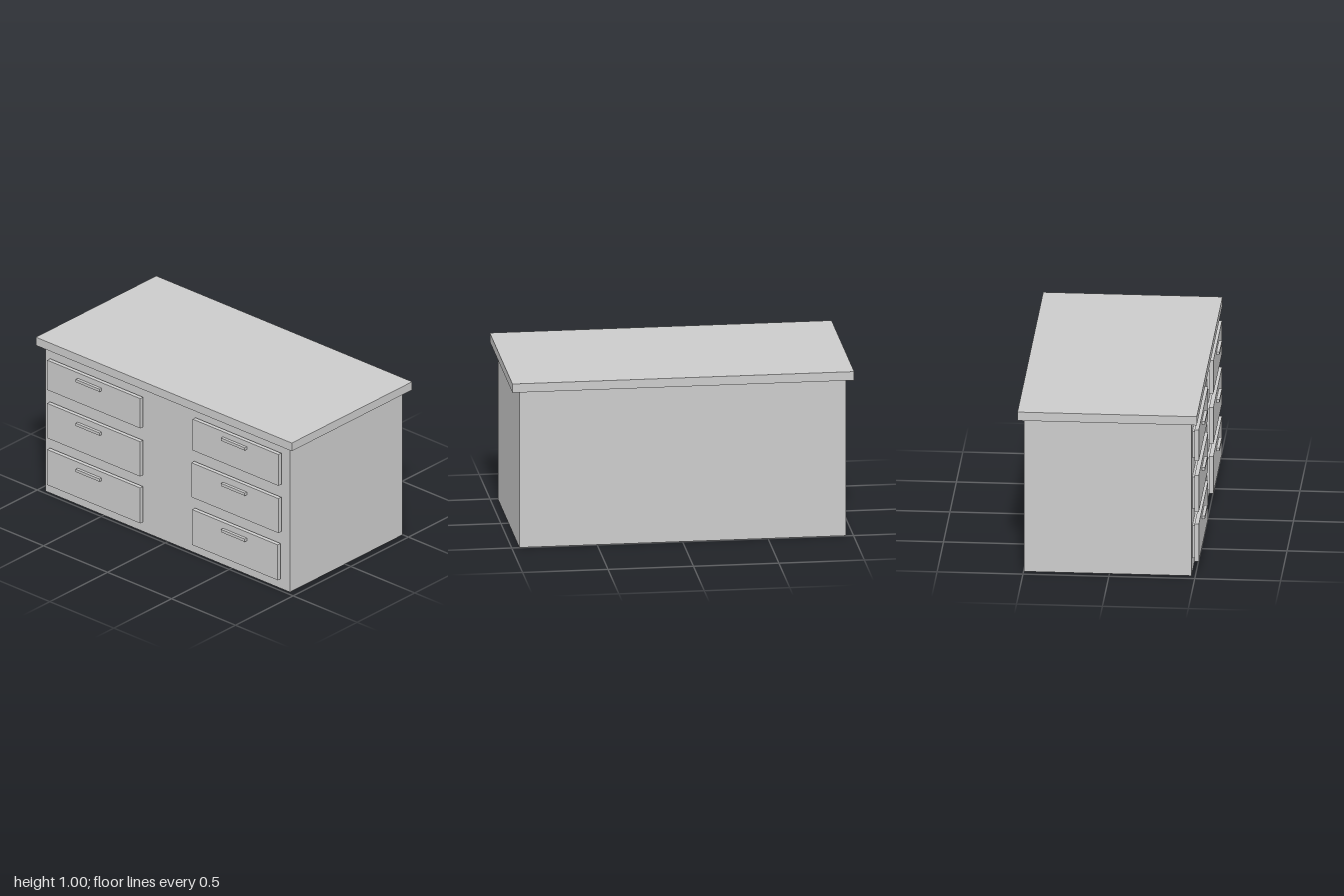
import * as THREE from 'three';

const material = new THREE.MeshStandardMaterial({ color: 0xcccccc });

// Box given by its extents along each axis
function box(name, [x0, x1], [y0, y1], [z0, z1]) {
  const mesh = new THREE.Mesh(new THREE.BoxGeometry(x1 - x0, y1 - y0, z1 - z0), material);
  mesh.position.set((x0 + x1) / 2, (y0 + y1) / 2, (z0 + z1) / 2);
  mesh.name = name;
  return mesh;
}

// Drawer: recessed backing, raised front panel and bar handle
function createDrawer(name, [x0, x1], [y0, y1], handleX, handleY) {
  const drawer = new THREE.Group();
  drawer.name = name;
  const inset = 0.016;
  drawer.add(
    box('drawerBacking', [x0 + inset, x1 - inset], [y0 + inset, y1 - inset], [0.47, 0.492]),
    box('drawerFront', [x0, x1], [y0, y1], [0.492, 0.517]),
    box('drawerHandle', [handleX - 0.093, handleX + 0.093], [handleY - 0.009, handleY + 0.009], [0.517, 0.535])
  );
  return drawer;
}

export function createModel() {
  const desk = new THREE.Group();
  desk.name = 'desk';

  // Solid cabinet with an overhanging top
  desk.add(box('cabinet', [-0.955, 0.955], [0, 0.95], [-0.497, 0.478]));
  desk.add(box('deskTop', [-1, 1], [0.95, 1.003], [-0.532, 0.512]));

  // Two stacks of three drawers, listed from top to bottom
  const rightStack = [
    { y: [0.693, 0.887], handleY: 0.842 },
    { y: [0.378, 0.605], handleY: 0.556 },
    { y: [0.072, 0.303], handleY: 0.255 },
  ];
  const leftStack = [
    { x: [0.23, 0.9], y: [0.691, 0.895], handleY: 0.852 },
    { x: [0.22, 0.9], y: [0.382, 0.607], handleY: 0.556 },
    { x: [0.225, 0.895], y: [0.072, 0.303], handleY: 0.255 },
  ];
  rightStack.forEach((d, i) => desk.add(createDrawer(`rightDrawer${i + 1}`, [-0.907, -0.18], d.y, -0.575, d.handleY)));
  leftStack.forEach((d, i) => desk.add(createDrawer(`leftDrawer${i + 1}`, d.x, d.y, 0.56, d.handleY)));

  return desk;
}
